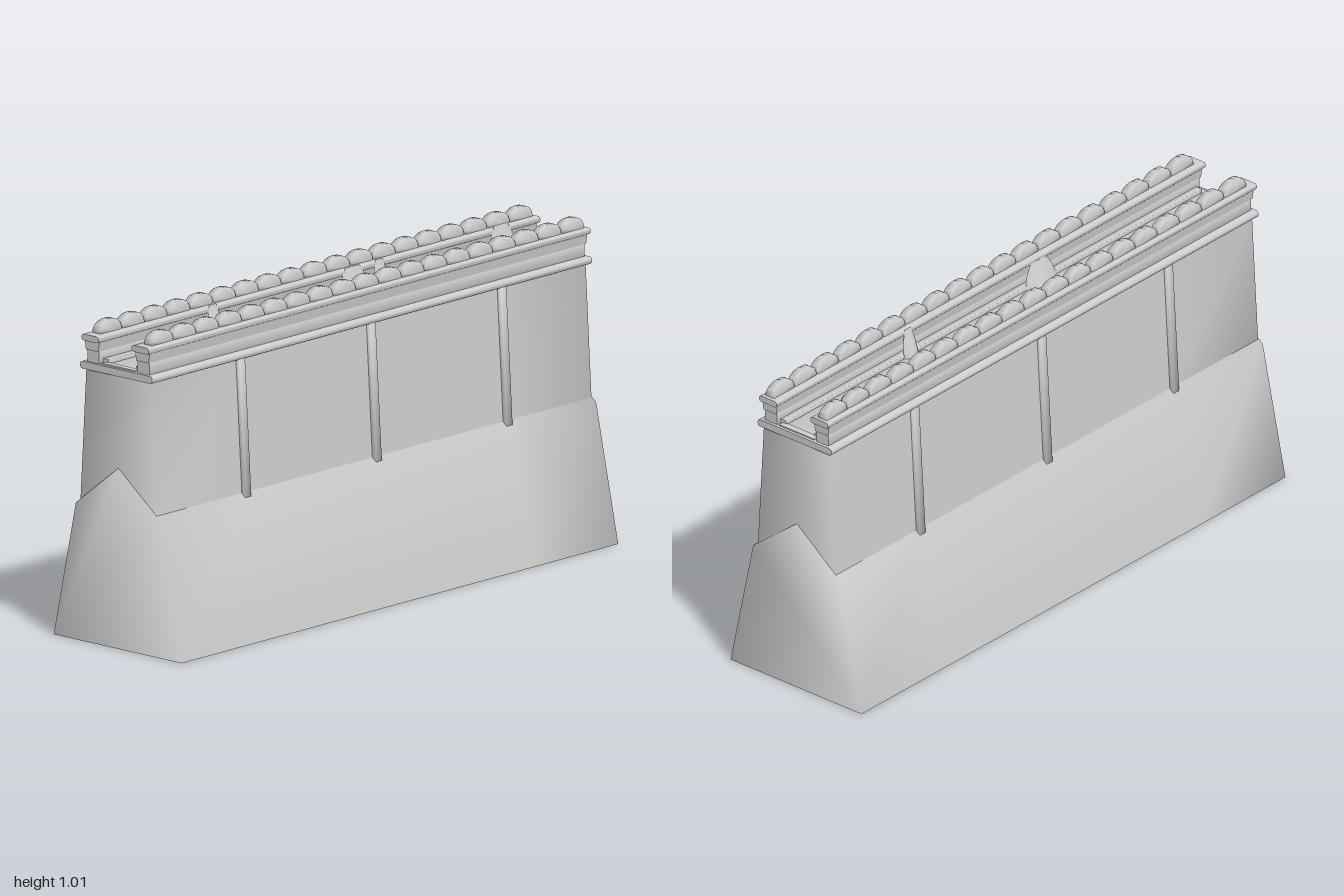
import * as THREE from 'three';
import { toCreasedNormals } from 'three/addons/utils/BufferGeometryUtils.js';

const grey = new THREE.MeshStandardMaterial({ color: 0xcccccc });
const thin = new THREE.MeshStandardMaterial({ color: 0xcccccc, side: THREE.DoubleSide });

function add(parent, geometry, name, material = grey) {
  const mesh = new THREE.Mesh(geometry, material);
  mesh.name = name;
  parent.add(mesh);
  return mesh;
}

// Extrudes a [z, y] cross-section along x, from x0 to x1
function prism(profile, x0, x1, crease = 0.9) {
  const shape = new THREE.Shape(profile.map(([z, y]) => new THREE.Vector2(-z, y)));
  const g = new THREE.ExtrudeGeometry(shape, { depth: x1 - x0, bevelEnabled: false });
  return toCreasedNormals(g.rotateY(Math.PI / 2).translate(x0, 0, 0), crease);
}

// Smooth shell through equal [z, y] sections at stations xs: closed ends, open underneath.
// The profile runs from +z over the top to -z; segments listed in skip are left open.
function shell(profile, xs, skip = []) {
  const n = profile.length, index = [];
  const positions = xs.flatMap((x) => profile.flatMap(([z, y]) => [x, y, z]));
  for (let s = 0; s < xs.length - 1; s++) {
    for (let k = 0; k < n - 1; k++) {
      if (skip.includes(k)) continue;
      const a = s * n + k, b = a + n;
      index.push(a, b, b + 1, a, b + 1, a + 1);
    }
  }
  const last = (xs.length - 1) * n;
  const contour = profile.map(([z, y]) => new THREE.Vector2(-z, y));
  for (const tri of THREE.ShapeUtils.triangulateShape(contour, [])) {
    const [a, b, c] = tri.map((i) => contour[i]);
    const turn = (b.x - a.x) * (c.y - a.y) - (b.y - a.y) * (c.x - a.x);
    const [i, j, k] = turn > 0 ? tri : [tri[0], tri[2], tri[1]];
    index.push(last + i, last + j, last + k, i, k, j);
  }
  const g = new THREE.BufferGeometry();
  g.setAttribute('position', new THREE.Float32BufferAttribute(positions, 3));
  g.setIndex(index);
  g.computeVertexNormals();
  return g;
}

// Rectangular section with rounded corners of radius r
function roundedSection(z0, z1, y0, y1, r) {
  const points = [];
  const corners = [[z1 - r, y1 - r], [z0 + r, y1 - r], [z0 + r, y0 + r], [z1 - r, y0 + r]];
  corners.forEach(([z, y], k) => {
    for (let i = 0; i <= 3; i++) {
      const a = (k + i / 3) * Math.PI / 2;
      points.push([z + r * Math.cos(a), y + r * Math.sin(a)]);
    }
  });
  return points;
}

// Domed capstone, slightly pulled in at its foot and tapering in z towards its top
function capstoneGeometry() {
  const h = 0.043, w = 0.048, shape = new THREE.Shape();
  shape.moveTo(w * 0.95, 0);
  for (let i = 0; i <= 14; i++) {
    const a = (i / 14) * Math.PI, c = Math.cos(a);
    shape.lineTo(w * Math.sign(c) * Math.abs(c) ** 0.8, h * (0.15 + 0.85 * Math.sin(a) ** 0.8));
  }
  shape.lineTo(-w * 0.95, 0);
  const g = new THREE.ExtrudeGeometry(shape, { depth: 0.036, bevelEnabled: false });
  g.translate(0, 0, -0.018);
  const p = g.attributes.position;
  for (let i = 0; i < p.count; i++) p.setZ(i, p.getZ(i) * (1 - 0.38 * p.getY(i) / h));
  return toCreasedNormals(g, Math.PI);
}

// Parapet on one side of the walkway
function parapet(side) {
  const group = new THREE.Group();
  group.name = side > 0 ? 'frontParapet' : 'backParapet';
  const courses = [
    ['innerStep', roundedSection(0.057, 0.08, 0.87, 0.894, 0.002), 0.965],
    ['parapetWall', roundedSection(0.079, 0.127, 0.87, 0.922, 0.002), 0.982],
    ['parapetBand', [[0.078, 0.918], [0.129, 0.918], [0.134, 0.95], [0.073, 0.95]], 0.987],
    ['parapetCap', roundedSection(0.068, 0.138, 0.948, 0.968, 0.008), 0.997],
  ];
  for (const [name, section, x] of courses) {
    add(group, prism(section.map(([z, y]) => [side * z, y]), -x, x), name);
  }
  const stone = capstoneGeometry();
  for (let i = 0; i < 19; i++) {
    add(group, stone, 'capstone').position.set(-0.917 + i * 0.103, 0.963, side * 0.106);
  }
  return group;
}

// Thin bowed slab leaning outwards against a parapet, narrowing upwards
function leaningShard(x, side, width, height) {
  const g = new THREE.PlaneGeometry(1, 1, 8, 4);
  const p = g.attributes.position;
  for (let i = 0; i < p.count; i++) {
    const u = p.getX(i), t = p.getY(i) + 0.5;
    p.setXYZ(i, x + u * width * (1 - 0.55 * t * t), 0.878 + t * height,
      side * (0.032 + 0.038 * t + 0.1 * u * u * (1 - t)));
  }
  g.computeVertexNormals();
  return g;
}

export function createModel() {
  const model = new THREE.Group();
  model.name = 'wall';

  // Hollow battered footing with a ridge that shows at both ends
  add(model, shell([[0.263, 0], [0.172, 0.43], [0, 0.565], [-0.172, 0.43], [-0.263, 0]],
    [-0.985, -0.6, 0, 0.6, 0.985]), 'footing', thin);

  // Tapering upper wall, open where the cornice covers it
  add(model, shell([[0.157, 0.435], [0.132, 0.865], [-0.132, 0.865], [-0.157, 0.435]],
    [-0.981, -0.584, 0.005, 0.595, 0.981], [1]), 'upperWall');

  // Slim pilasters on both faces
  for (const s of [1, -1]) {
    for (const x of [-0.584, 0.005, 0.595]) {
      const section = [[0.14, 0.43], [0.172, 0.43], [0.146, 0.865], [0.12, 0.865]];
      add(model, prism(section.map(([z, y]) => [s * z, y]), x - 0.013, x + 0.013, Math.PI), 'pilaster');
    }
  }

  // Cornice with a softened edge, raised rims at the walkway ends, and the parapets
  add(model, prism(roundedSection(-0.148, 0.148, 0.857, 0.88, 0.008), -0.992, 0.992), 'cornice');
  for (const s of [1, -1]) {
    add(model, new THREE.BoxGeometry(0.022, 0.01, 0.14), 'endRim').position.set(s * 0.971, 0.879, 0);
    model.add(parapet(s));
  }

  // Shards leaning along the walkway
  const shards = [[-0.48, -1, 0.07, 0.095], [0.15, -1, 0.14, 0.095], [0.27, -1, 0.07, 0.095],
    [0.82, -1, 0.13, 0.1], [-0.22, 1, 0.14, 0.08], [0.385, 1, 0.065, 0.09]];
  for (const [x, side, w, h] of shards) add(model, leaningShard(x, side, w, h), 'leaningShard', thin);

  // Loose twigs on the walkway
  const twigs = [[-0.63, -0.015, -0.53, 0.03], [-0.335, -0.07, -0.335, -0.03],
    [0.2, -0.01, 0.25, -0.03], [0.8, 0.02, 0.87, -0.02]];
  for (const [x0, z0, x1, z1] of twigs) {
    const line = new THREE.LineCurve3(new THREE.Vector3(x0, 0.883, z0), new THREE.Vector3(x1, 0.89, z1));
    add(model, new THREE.TubeGeometry(line, 1, 0.002, 5), 'twig');
  }

  return model;
}
